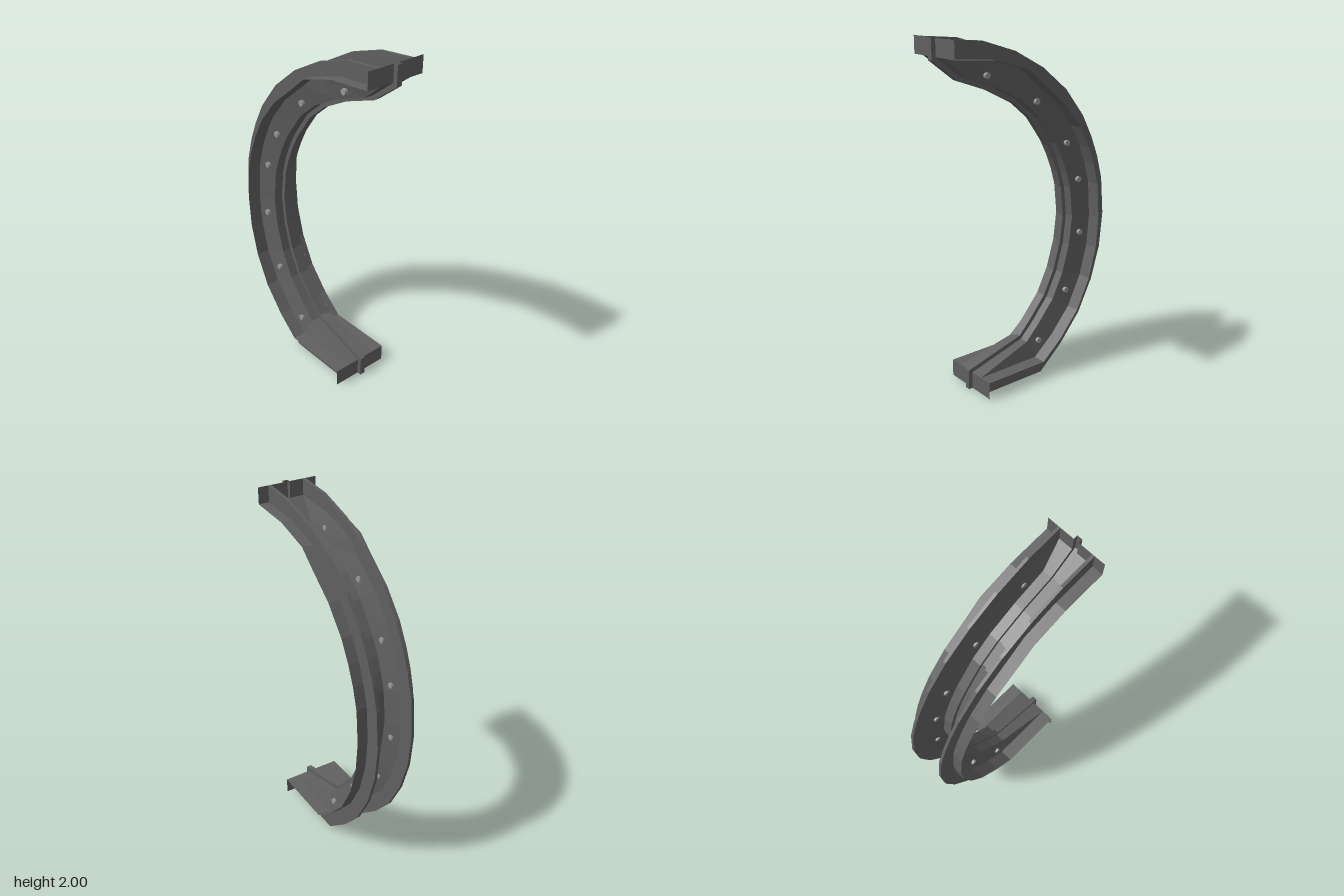
import * as THREE from 'three';

// Stations along the curve, each [z, y], from the top end round the back to the foot
const outer = [[.535, 2], [.32, 1.98], [.11, 1.915], [-.08, 1.815], [-.25, 1.68], [-.38, 1.52], [-.45, 1.39], [-.5, 1.27],
  [-.54, 1.13], [-.56, .91], [-.54, .7], [-.48, .5], [-.38, .305], [-.24, .14], [-.08, 0], [.35, 0]];
const middle = [[.535, 1.905], [.28, 1.885], [.07, 1.825], [-.03, 1.74], [-.185, 1.615], [-.305, 1.47], [-.37, 1.35], [-.415, 1.24],
  [-.45, 1.115], [-.465, .91], [-.45, .725], [-.4, .54], [-.31, .36], [-.18, .21], [-.05, .1], [.35, .1]];
const inner = [[.535, 1.905], [.4, 1.8], [.2, 1.73], [.025, 1.64], [-.1, 1.535], [-.22, 1.37], [-.27, 1.275], [-.305, 1.19],
  [-.335, 1.09], [-.355, .91], [-.335, .74], [-.285, .57], [-.21, .42], [-.095, .285], [-.01, .2], [.35, .1]];
const bolts = [[.275, 1.8], [-.06, 1.63], [-.285, 1.37], [-.38, 1.14], [-.4, .81], [-.295, .465], [-.085, .195]];

const WIDTH = 0.18, WALL = 0.1, LIP = 0.117, RIDGE = 0.016, STEP = 0.025;

// The centre ridge stands a small step inside the inner plate
const ridge = inner.map((p, i) => {
  if (i === 0) return [.56, 1.89];
  if (i === inner.length - 1) return [.375, .118];
  const a = inner[i - 1], b = inner[i + 1];
  const dz = b[0] - a[0], dy = b[1] - a[1], len = Math.hypot(dz, dy);
  return [p[0] - dy / len * STEP, p[1] + dz / len * STEP];
});

const at = (x, [z, y]) => [x, y, z];

// Joins successive cross-sections into a flat-faceted skin
function loft(name, sections, material) {
  const pos = [];
  for (let i = 0; i + 1 < sections.length; i++) {
    for (let j = 0; j + 1 < sections[i].length; j++) {
      const a = sections[i][j], b = sections[i][j + 1];
      const c = sections[i + 1][j + 1], d = sections[i + 1][j];
      pos.push(...a, ...b, ...c, ...a, ...c, ...d);
    }
  }
  const geometry = new THREE.BufferGeometry();
  geometry.setAttribute('position', new THREE.Float32BufferAttribute(pos, 3));
  geometry.computeVertexNormals();
  const mesh = new THREE.Mesh(geometry, material);
  mesh.name = name;
  return mesh;
}

export function createModel() {
  const group = new THREE.Group();
  group.name = 'curvedRib';
  const metal = new THREE.MeshStandardMaterial({ color: 0x606060, flatShading: true, side: THREE.DoubleSide });
  const boltMetal = new THREE.MeshStandardMaterial({ color: 0x999999 });

  // Hat-shaped channel: side flange, sloping wall, inner plate, centre ridge, mirrored
  const channel = middle.map((m, i) => {
    const p = inner[i];
    const depth = Math.hypot(p[0] - m[0], p[1] - m[1]);
    const half = WALL - 0.03 * Math.min(1, depth / 0.11);
    const side = [[WIDTH, m], [WALL, m], [half, p], [RIDGE, p], [RIDGE, ridge[i]]];
    return [...side.map(([x, q]) => at(x, q)), ...side.reverse().map(([x, q]) => at(-x, q))];
  });
  group.add(loft('channel', channel, metal));

  // Upright lip along the outer edge of each wall
  for (const s of [1, -1]) {
    const lip = middle.map((m, i) =>
      [[WALL, m], [WALL, outer[i]], [LIP, outer[i]], [LIP, m], [WALL, m]].map(([x, q]) => at(s * x, q)));
    group.add(loft(s > 0 ? 'leftLip' : 'rightLip', lip, metal));
  }

  // End plates with the stepped centre strip
  for (const [name, i, edge] of [['topEndPlate', 0, 2], ['footEndPlate', 15, 0]]) {
    const zPlate = middle[i][0], zRidge = ridge[i][0];
    const row = (yPlate, yRidge) => [
      [WIDTH, yPlate, zPlate], [RIDGE, yPlate, zPlate], [RIDGE, yRidge, zRidge],
      [-RIDGE, yRidge, zRidge], [-RIDGE, yPlate, zPlate], [-WIDTH, yPlate, zPlate]];
    group.add(loft(name, [row(middle[i][1], ridge[i][1]), row(edge, edge)], metal));
  }

  // Bolts through both sloping walls
  const boltGeometry = new THREE.CylinderGeometry(0.017, 0.017, 0.022, 10).rotateZ(Math.PI / 2);
  for (const s of [1, -1]) {
    for (const [z, y] of bolts) {
      const bolt = new THREE.Mesh(boltGeometry, boltMetal);
      bolt.name = 'bolt';
      bolt.position.set(s * 0.088, y, z);
      group.add(bolt);
    }
  }
  return group;
}
